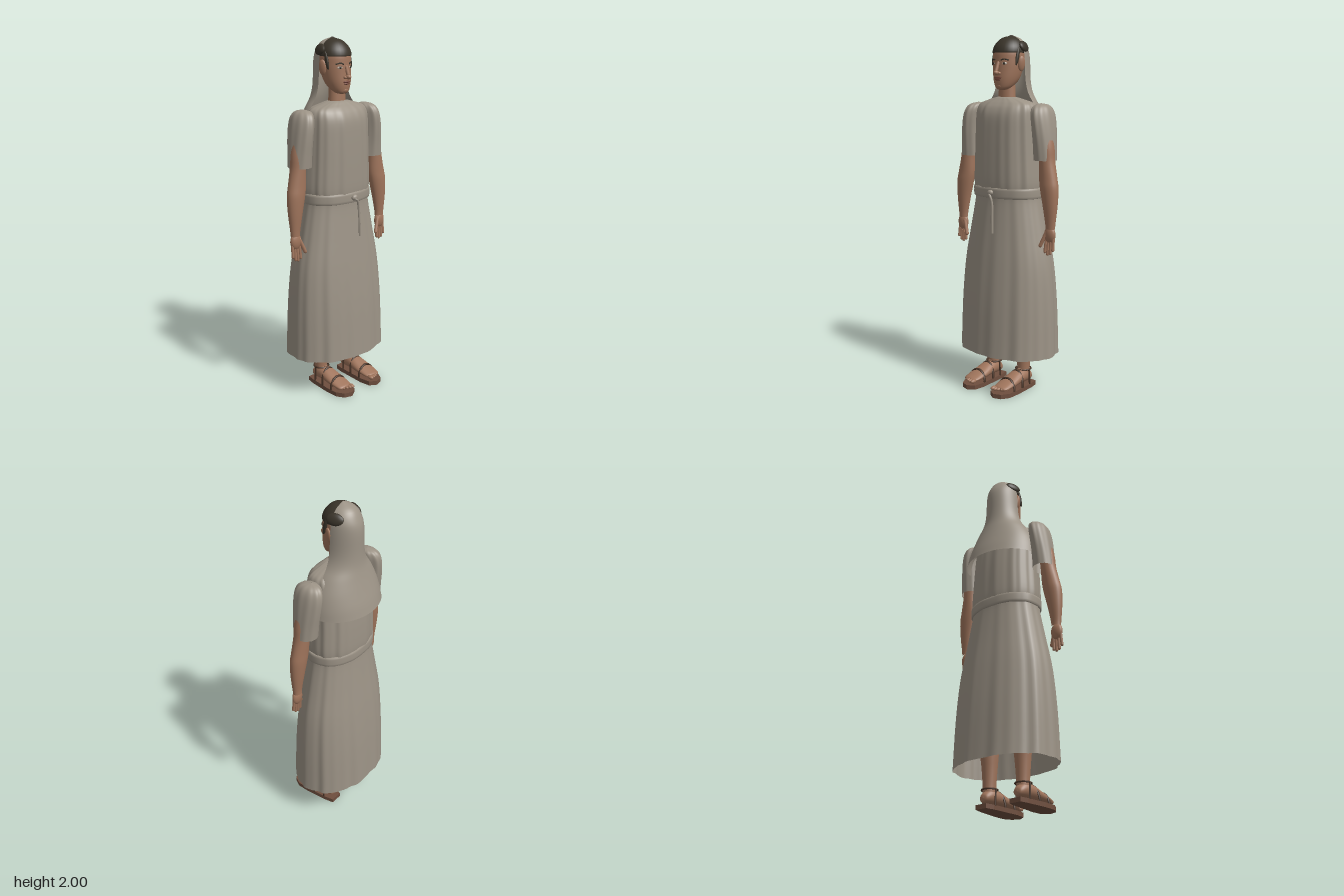
import * as THREE from 'three';

const mat = (name, color, double) => {
  const m = new THREE.MeshStandardMaterial({ color });
  m.name = name;
  if (double) m.side = THREE.DoubleSide;
  return m;
};

// Smooth skin through elliptical rings [cx, y, cz, rx, rz], listed upwards.
function loft(rings, { seg = 32, steps = 4, fold = () => 1, pow = 1, from = 0, arc = Math.PI * 2 } = {}) {
  const curve = (f) => new THREE.CatmullRomCurve3(rings.map(f), false, 'catmullrom', 0.5);
  const centre = curve((r) => new THREE.Vector3(r[0], r[1], r[2]));
  const radius = curve((r) => new THREE.Vector3(r[3], r[4], 0));
  const closed = arc > 6.28, cols = closed ? seg : seg + 1, n = (rings.length - 1) * steps;
  const pos = [], idx = [];
  const sp = (v) => Math.sign(v) * Math.abs(v) ** pow;
  for (let j = 0; j <= n; j++) {
    const c = centre.getPoint(j / n), r = radius.getPoint(j / n);
    for (let i = 0; i < cols; i++) {
      const a = from + (arc * i) / seg, k = fold(a, j / n);
      pos.push(c.x + r.x * k * sp(Math.cos(a)), c.y, c.z + r.y * k * sp(Math.sin(a)));
    }
  }
  for (let j = 0; j < n; j++) for (let i = 0; i < seg; i++) {
    const a = j * cols + i, b = j * cols + ((i + 1) % cols);
    idx.push(a, a + cols, b, b, a + cols, b + cols);
  }
  const g = new THREE.BufferGeometry();
  g.setAttribute('position', new THREE.Float32BufferAttribute(pos, 3));
  g.setIndex(idx);
  g.computeVertexNormals();
  return g;
}

const pleats = (a) => 0.5 * Math.sin(9 * a + 1) + 0.35 * Math.sin(14 * a + 2) + 0.25 * Math.sin(23 * a);

export function createModel() {
  const root = new THREE.Group();
  const cloth = mat('cloth', 0x9c9386, true);
  const skin = mat('skin', 0xa0755c);
  const hair = mat('hair', 0x3a342a);
  const leather = mat('sole leather', 0x6e4e3e);
  const strapMat = mat('strap leather', 0x4a3528);
  const white = mat('eye white', 0xc9c0b4);
  const lip = mat('lip', 0x74463a);

  const add = (parent, name, geo, m, p = [0, 0, 0], rot = [0, 0, 0], s = [1, 1, 1]) => {
    const mesh = new THREE.Mesh(geo, m);
    mesh.name = name;
    mesh.position.set(...p);
    mesh.rotation.set(...rot);
    mesh.scale.set(...s);
    parent.add(mesh);
    return mesh;
  };
  const ball = new THREE.SphereGeometry(1, 16, 12);
  const tube = (pts, r, seg = 16) => new THREE.TubeGeometry(
    new THREE.CatmullRomCurve3(pts.map((p) => new THREE.Vector3(...p))), seg, r, 6);
  const limb = (a, b, r) => {
    const A = new THREE.Vector3(...a), B = new THREE.Vector3(...b), d = B.clone().sub(A);
    const g = new THREE.CapsuleGeometry(r, d.length(), 4, 8);
    g.applyQuaternion(new THREE.Quaternion().setFromUnitVectors(new THREE.Vector3(0, 1, 0), d.normalize()));
    return g.translate(...A.add(B).multiplyScalar(0.5).toArray());
  };

  // Robe: skirt, bodice and belt
  add(root, 'skirt', loft([
    [0, 0.215, -0.012, 0.308, 0.218], [0, 0.5, -0.013, 0.3, 0.204], [0, 0.73, -0.014, 0.282, 0.184],
    [0, 0.92, -0.014, 0.246, 0.162], [0, 1.08, -0.014, 0.214, 0.145], [0, 1.14, -0.013, 0.208, 0.144],
  ], { seg: 128, pow: 0.92, fold: (a, t) => 1 + 0.026 * (1 - 0.6 * t) * pleats(a) }), cloth);
  add(root, 'bodice', loft([
    [0, 1.14, -0.012, 0.206, 0.146], [0, 1.2, -0.012, 0.211, 0.15], [0, 1.33, -0.011, 0.205, 0.148],
    [0, 1.45, -0.008, 0.2, 0.142], [0, 1.55, -0.004, 0.196, 0.132], [0, 1.6, -0.002, 0.19, 0.114],
    [0, 1.628, 0, 0.17, 0.09], [0, 1.645, 0.003, 0.12, 0.068], [0, 1.657, 0.005, 0.075, 0.052],
    [0, 1.662, 0.005, 0.05, 0.04],
  ], { seg: 128, pow: 0.88, fold: (a) => 1 + 0.026 * pleats(a + 0.4) }), cloth);
  add(root, 'belt', loft([
    [0, 1.108, -0.012, 0.205, 0.14], [0, 1.11, -0.012, 0.217, 0.152], [0, 1.138, -0.012, 0.218, 0.153],
    [0, 1.163, -0.012, 0.217, 0.152], [0, 1.165, -0.012, 0.205, 0.14],
  ], { seg: 64, steps: 2, pow: 0.9, fold: (a) => 1 + 0.008 * pleats(a) }), cloth);
  add(root, 'beltKnot', ball, cloth, [0, 1.138, 0.146], [0, 0, 0.3], [0.02, 0.016, 0.014]);
  add(root, 'beltCord', tube([[-0.015, 1.135, 0.147], [0.008, 1.125, 0.158], [0.022, 1.08, 0.156],
    [0.026, 1, 0.16], [0.028, 0.915, 0.162]], 0.007), cloth);

  // Hood hanging down behind the shoulders
  add(root, 'hood', loft([
    [0, 1.42, -0.03, 0.235, 0.193], [0, 1.48, -0.03, 0.225, 0.178], [0, 1.55, -0.03, 0.204, 0.156],
    [0, 1.62, -0.03, 0.168, 0.135], [0, 1.68, -0.03, 0.127, 0.121], [0, 1.75, -0.03, 0.106, 0.116],
    [0, 1.87, -0.03, 0.098, 0.115], [0, 1.93, -0.03, 0.088, 0.098], [0, 1.975, -0.03, 0.055, 0.066],
    [0, 2, -0.03, 0.003, 0.003],
  ], { seg: 40, from: Math.PI, arc: Math.PI }), cloth);

  // Head, neck and hair
  const head = new THREE.Group();
  head.name = 'head';
  root.add(head);
  add(head, 'neck', new THREE.CylinderGeometry(0.048, 0.054, 0.12, 24), skin, [0, 1.69, 0.003], [0, 0, 0], [1, 1, 0.8]);
  add(head, 'skull', loft([
    [0, 1.698, 0.04, 0.004, 0.004], [0, 1.704, 0.036, 0.032, 0.034], [0, 1.722, 0.026, 0.052, 0.052],
    [0, 1.76, 0.008, 0.07, 0.074], [0, 1.81, -0.004, 0.081, 0.084], [0, 1.86, -0.012, 0.086, 0.09],
    [0, 1.91, -0.016, 0.084, 0.089], [0, 1.95, -0.02, 0.06, 0.065],
  ]), skin);
  add(head, 'hairCap', loft([
    [0, 1.9, -0.015, 0.084, 0.088], [0, 1.905, -0.015, 0.091, 0.094], [0, 1.935, -0.018, 0.085, 0.088],
    [0, 1.965, -0.022, 0.065, 0.069], [0, 1.985, -0.025, 0.037, 0.042], [0, 1.994, -0.028, 0.002, 0.002],
  ]), hair);
  add(head, 'noseBridge', limb([0, 1.845, 0.077], [0, 1.805, 0.092], 0.01), skin);
  add(head, 'noseTip', ball, skin, [0, 1.793, 0.093], [0, 0, 0], [0.014, 0.013, 0.018]);
  add(head, 'upperLip', ball, lip, [0, 1.766, 0.081], [0, 0, 0], [0.026, 0.006, 0.008]);
  add(head, 'lowerLip', ball, lip, [0, 1.756, 0.079], [0, 0, 0], [0.02, 0.006, 0.008]);
  add(head, 'chin', ball, skin, [0, 1.722, 0.06], [0, 0, 0], [0.026, 0.02, 0.02]);
  for (const s of [1, -1]) {
    add(head, 'nostril', ball, skin, [s * 0.014, 1.79, 0.084], [0, 0, 0], [0.009, 0.008, 0.011]);
    add(head, 'eye', ball, white, [s * 0.037, 1.843, 0.066], [0, s * 0.4, 0], [0.015, 0.007, 0.007]);
    add(head, 'iris', ball, hair, [s * 0.037, 1.843, 0.071], [0, s * 0.4, 0], [0.007, 0.007, 0.004]);
    add(head, 'eyebrow', tube([[s * 0.018, 1.86, 0.076], [s * 0.037, 1.866, 0.07], [s * 0.058, 1.86, 0.055]], 0.004), hair);
    add(head, 'ear', ball, skin, [s * 0.091, 1.842, -0.012], [0, s * -0.35, s * -0.1], [0.011, 0.042, 0.022]);
    add(head, 'sideburn', ball, hair, [s * 0.085, 1.88, 0.014], [-0.25, 0, 0], [0.008, 0.05, 0.012]);
    add(head, 'hairTuft', ball, hair, [s * 0.08, 1.935, -0.045], [0, s * 0.3, s * 0.4], [0.016, 0.032, 0.048]);
  }

  // One arm or leg per side, built on the left and mirrored by the sign
  for (const s of [1, -1]) {
    const arm = new THREE.Group();
    arm.name = s > 0 ? 'leftArm' : 'rightArm';
    root.add(arm);
    const mir = (rings) => rings.map(([x, ...r]) => [s * x, ...r]);
    add(arm, 'sleeve', loft(mir([
      [0.268, 1.325, -0.003, 0.062, 0.067], [0.265, 1.4, -0.004, 0.059, 0.074], [0.259, 1.48, -0.006, 0.056, 0.083],
      [0.25, 1.55, -0.008, 0.053, 0.086], [0.241, 1.595, -0.01, 0.048, 0.076], [0.234, 1.62, -0.012, 0.034, 0.05],
      [0.23, 1.63, -0.014, 0.002, 0.002],
    ]), { seg: 64, fold: (a, t) => 1 + 0.03 * Math.sin(10 * a) * (0.4 + 0.6 * t) }), cloth);
    add(arm, 'arm', loft(mir([
      [0.325, 0.955, 0.02, 0.028, 0.022], [0.325, 0.99, 0.02, 0.031, 0.024], [0.321, 1.08, 0.018, 0.044, 0.034],
      [0.312, 1.17, 0.015, 0.055, 0.041], [0.302, 1.23, 0.012, 0.054, 0.041], [0.291, 1.32, 0.008, 0.045, 0.042],
      [0.284, 1.4, 0.006, 0.044, 0.042], [0.272, 1.5, 0, 0.034, 0.036],
    ]), { seg: 24 }), skin);
    // Hand with four fingers and a thumb
    add(arm, 'palm', ball, skin, [s * 0.325, 0.925, 0.023], [0, 0, 0], [0.036, 0.048, 0.02]);
    for (let i = 0; i < 4; i++) {
      const x = 0.302 + i * 0.016, tip = [0.828, 0.818, 0.824, 0.842][i];
      add(arm, 'finger', limb([s * x, 0.905, 0.024], [s * (x - 0.004 + i * 0.002), tip, 0.031], 0.0085), skin);
    }
    add(arm, 'thumb', limb([s * 0.305, 0.935, 0.03], [s * 0.276, 0.862, 0.044], 0.0105), skin);

    const leg = new THREE.Group();
    leg.name = s > 0 ? 'leftLeg' : 'rightLeg';
    leg.position.x = s * 0.113;
    leg.scale.x = s;
    root.add(leg);
    add(leg, 'shin', loft([
      [0, 0.06, -0.012, 0.036, 0.038], [0, 0.12, -0.012, 0.036, 0.036], [0, 0.22, -0.012, 0.043, 0.042],
      [0, 0.36, -0.014, 0.054, 0.054], [0, 0.6, -0.01, 0.054, 0.056],
    ], { seg: 24 }), skin);
    // Foot rings run from heel to toe, then turn to lie flat
    add(leg, 'foot', loft([
      [0, -0.066, -0.06, 0.003, 0.003], [0, -0.058, -0.062, 0.026, 0.024], [0, -0.02, -0.075, 0.04, 0.041],
      [0, 0.04, -0.075, 0.046, 0.04], [0, 0.11, -0.061, 0.052, 0.029], [0, 0.17, -0.05, 0.05, 0.018],
      [0, 0.2, -0.045, 0.038, 0.012], [0, 0.205, -0.045, 0.003, 0.003],
    ], { seg: 24 }).rotateX(Math.PI / 2), skin);
    for (let i = 0; i < 5; i++) {
      add(leg, 'toe', ball, skin, [-0.034 + i * 0.018, 0.045, 0.208 - i * i * 0.0022], [0, 0, 0],
        [i ? 0.01 : 0.014, i ? 0.01 : 0.012, 0.022]);
    }
    // Sandal
    const sole = new THREE.Shape([[-0.035, 0.08], [0.035, 0.08], [0.046, 0.03], [0.06, -0.1], [0.06, -0.18],
      [0.034, -0.225], [-0.012, -0.24], [-0.052, -0.215], [-0.06, -0.15], [-0.046, 0.03]].map((p) => new THREE.Vector2(...p)));
    add(leg, 'sole', new THREE.ExtrudeGeometry(sole, { depth: 0.025, bevelEnabled: false }).rotateX(-Math.PI / 2), leather);
    for (const [z, w, h, tilt] of [[0.135, 0.057, 0.064, -0.1], [0.06, 0.054, 0.087, -0.15]]) {
      add(leg, 'strap', new THREE.TorusGeometry(1, 0.09, 8, 24, Math.PI), strapMat, [0, 0.025, z], [tilt, 0, 0], [w, h, 0.09]);
    }
    add(leg, 'ankleStrap', new THREE.TorusGeometry(0.043, 0.005, 8, 28), strapMat, [0, 0.112, -0.01], [Math.PI / 2, 0, 0]);
    for (const k of [1, -1]) add(leg, 'sideStrap', limb([k * 0.044, 0.025, -0.015], [k * 0.043, 0.112, -0.01], 0.005), strapMat);
  }
  return root;
}
